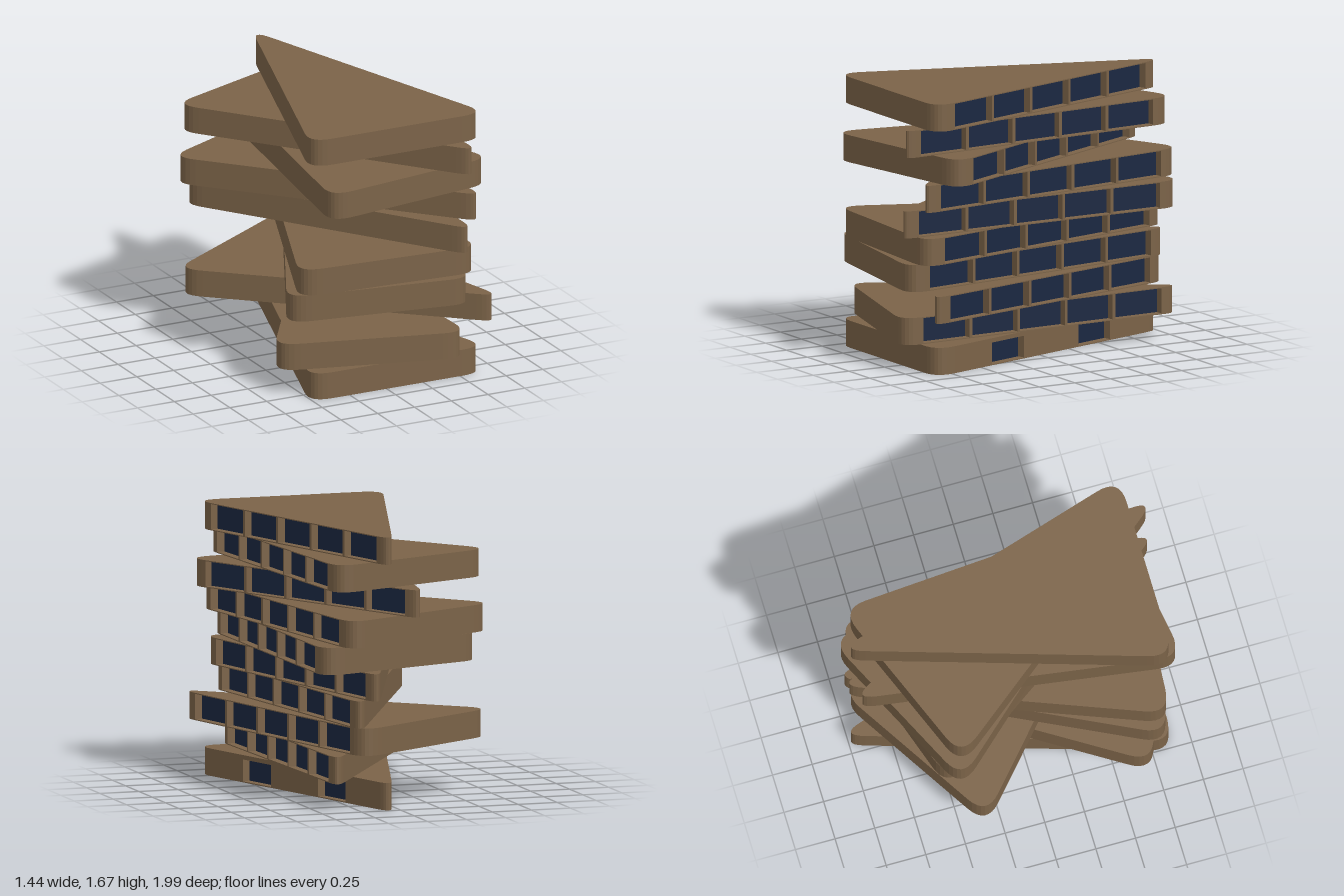
import * as THREE from 'three';

const FLOOR = 0.167, CAP = 0.006, ROUND = 0.16;
const HALF_BASE = 0.6, HALF_LEN = 0.97, RECESS = 0.06, GLASS_DEPTH = 0.05;

const wallMaterial = new THREE.MeshStandardMaterial({ color: 0x7b6348 });
const glassMaterial = new THREE.MeshStandardMaterial({ color: 0x1b2842 });

// Each storey: [x, z, turn in degrees, direction of the tip (1 front, -1 back)]
const storeys = [
  [0.075, -0.09, 0, -1],
  [0.154, -0.072, 15, -1],
  [0.233, 0.135, 31.7, 1],
  [0.1, -0.055, 9, -1],
  [0.086, -0.082, 4, -1],
  [0.207, 0.147, 18, 1],
  [0.206, 0.095, 25.5, 1],
  [0.02, -0.085, -9, -1],
  [0.184, 0.164, 21.5, 1],
  [0.075, -0.09, 0, -1],
];

// Triangle corners in the storey's own plane, tip along +v
const right = new THREE.Vector2(HALF_BASE, -HALF_LEN);
const tip = new THREE.Vector2(0, HALF_LEN);
const left = new THREE.Vector2(-HALF_BASE, -HALF_LEN);
const along = tip.clone().sub(right).normalize();
const inward = new THREE.Vector2(-along.y, along.x);
const edgeLength = tip.distanceTo(right);

// Point on the window side: t along the edge, d into the building
const onEdge = (t, d) => right.clone().addScaledVector(along, t).addScaledVector(inward, d);
const toward = (from, to) => from.clone().add(to.clone().sub(from).setLength(ROUND));

// Maps a plane point to shape coordinates (x, -z)
function placer([x, z, turn, dir]) {
  const s = Math.sin(turn * Math.PI / 180), c = Math.cos(turn * Math.PI / 180);
  return (p) => new THREE.Vector2(x + p.x * c + p.y * s, -(z + dir * (p.y * c - p.x * s)));
}

// Rounded triangle, with optional recesses cut into the window side
function outline(place, openings = []) {
  const shape = new THREE.Shape();
  const line = (p) => { const q = place(p); shape.lineTo(q.x, q.y); };
  const corner = (prev, at, next) => {
    line(toward(at, prev));
    const c = place(at), e = place(toward(at, next));
    shape.quadraticCurveTo(c.x, c.y, e.x, e.y);
  };
  const start = place(toward(left, right));
  shape.moveTo(start.x, start.y);
  corner(left, right, tip);
  for (const [a, b] of openings) {
    line(onEdge(a, 0));
    line(onEdge(a, RECESS));
    line(onEdge(b, RECESS));
    line(onEdge(b, 0));
  }
  corner(right, tip, left);
  corner(tip, left, right);
  return shape;
}

function slab(name, shape, y, height, material) {
  const geometry = new THREE.ExtrudeGeometry(shape, { depth: height, bevelEnabled: false, curveSegments: 8 });
  geometry.rotateX(-Math.PI / 2);
  geometry.translate(0, y, 0);
  const mesh = new THREE.Mesh(geometry, material);
  mesh.name = name;
  return mesh;
}

// Five windows between slim posts
function windowRow() {
  const pitch = (edgeLength - 2 * ROUND) / 5, post = 0.02;
  return Array.from({ length: 5 }, (_, i) => [
    ROUND + i * pitch + (i === 0 ? 0.002 : post / 2),
    ROUND + (i + 1) * pitch - (i === 4 ? 0.002 : post / 2),
  ]);
}

export function createModel() {
  const model = new THREE.Group();
  model.name = 'twistedTower';

  storeys.forEach((storey, i) => {
    const group = new THREE.Group();
    group.name = `storey${i + 1}`;
    const place = placer(storey);
    const y = i * FLOOR;

    // The ground storey has two entrances, the others a row of windows
    const openings = i === 0 ? [[0.49, 0.78], [1.267, 1.55]] : windowRow();
    const top = i === 0 ? 0.14 : FLOOR - CAP;
    const height = top - CAP;

    group.add(slab('floorSlab', outline(place), y, CAP, wallMaterial));
    group.add(slab('walls', outline(place, openings), y + CAP, height, wallMaterial));
    group.add(slab('roofSlab', outline(place), y + top, FLOOR - top, wallMaterial));

    // Glass at the back of each recess
    for (const [a, b] of openings) {
      const pane = [onEdge(a, GLASS_DEPTH), onEdge(b, GLASS_DEPTH), onEdge(b, RECESS), onEdge(a, RECESS)];
      group.add(slab('windowGlass', new THREE.Shape(pane.map(place)), y + CAP, height, glassMaterial));
    }
    model.add(group);
  });

  return model;
}
